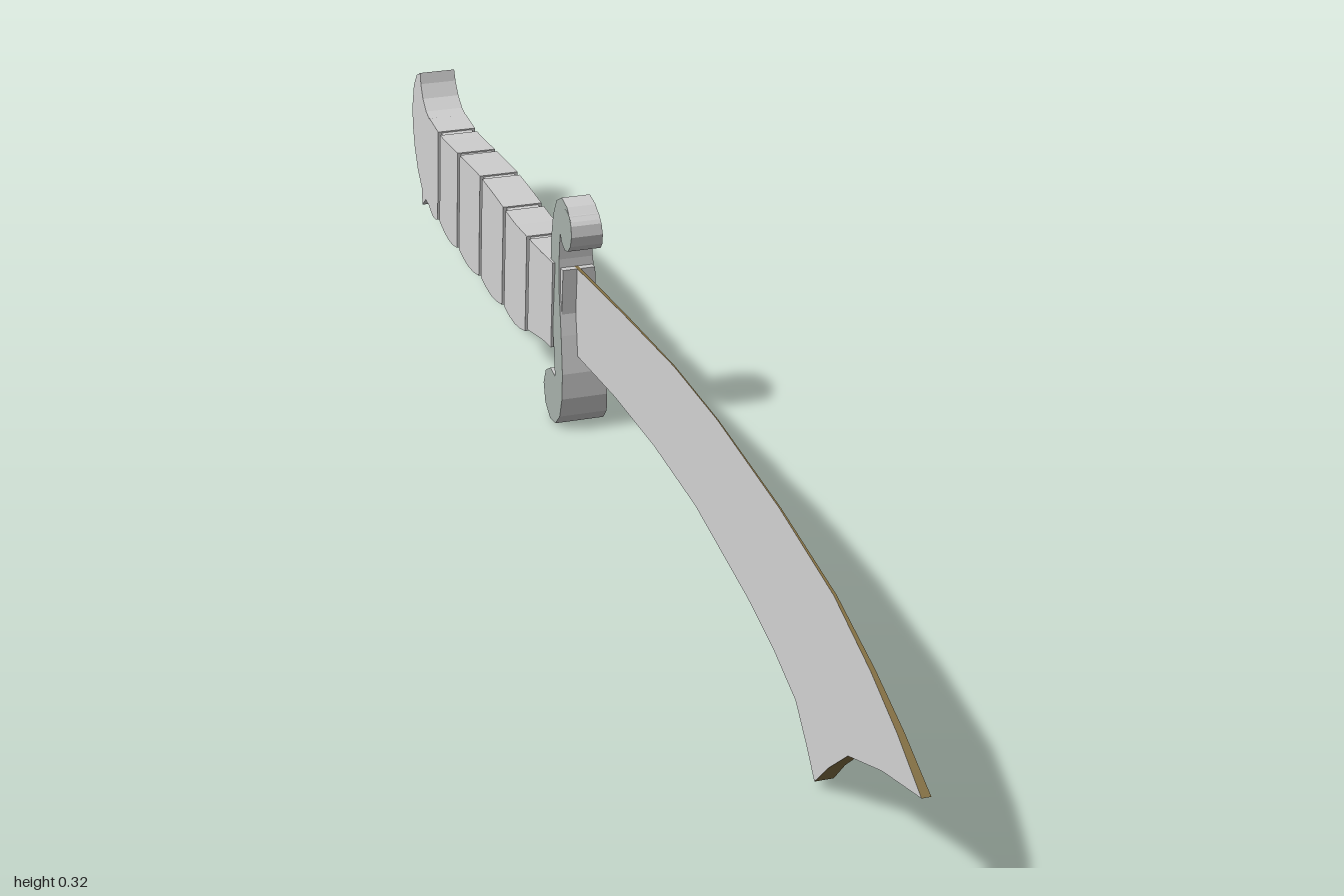
import * as THREE from 'three';

const mat = (name, color) => {
  const m = new THREE.MeshStandardMaterial({ color });
  m.name = name;
  return m;
};

// Extrudes a [z, y] outline across x; the half width varies with height.
// mats = [right-facing -x, +x face, rim]
function slab(name, outline, halfWidth, mats) {
  const shape = new THREE.Shape(outline.map(([z, y]) => new THREE.Vector2(-z, y)));
  let geo = new THREE.ExtrudeGeometry(shape, { depth: 1, bevelEnabled: false, steps: 1 });
  const caps = geo.groups[0].count;
  const total = geo.attributes.position.count;
  geo.rotateY(Math.PI / 2);
  const p = geo.attributes.position;
  for (let i = 0; i < total; i++) p.setX(i, (p.getX(i) - 0.5) * 2 * halfWidth(p.getY(i)));
  geo.clearGroups();
  geo.addGroup(0, caps / 2, 0);
  geo.addGroup(caps / 2, caps / 2, 1);
  geo.addGroup(caps, total - caps, 2);
  geo.computeVertexNormals();
  const mesh = new THREE.Mesh(geo, mats);
  mesh.name = name;
  return mesh;
}

// Height of a polyline (z descending) at a given z
function heightAt(line, z) {
  for (let i = 1; i < line.length; i++) {
    const [z0, y0] = line[i - 1], [z1, y1] = line[i];
    if (z >= z1) return y0 + (y1 - y0) * (z - z0) / (z1 - z0);
  }
  return line[line.length - 1][1];
}

export function createModel() {
  const group = new THREE.Group();
  const brown = mat('bronze brown', 0x857144);
  const light = mat('light grey', 0xcfcfcf);
  const steel = mat('steel grey', 0xa4aea8);

  // Blade: wedge, thick at the lower edge and sharp along the top
  group.add(slab('blade', [
    [1, 0.155], [0.9, 0.126], [0.81, 0.09], [0.76, 0.045], [0.725, 0.007],
    [0.695, 0.035], [0.655, 0.068], [0.58, 0.09], [0.49, 0.107], [0.3, 0.129], [0.14, 0.131],
    [-0.02, 0.123], [-0.25, 0.1], [-0.25, 0.22], [-0.2, 0.225], [0, 0.246], [0.2, 0.264],
    [0.36, 0.268], [0.57, 0.26], [0.74, 0.243], [0.85, 0.215], [0.93, 0.187],
  ], y => 0.0006 + 0.0108 * Math.max(0, 1 - y / 0.27), [light, brown, brown]));

  // Handle core, running on into the flared pommel
  const gripWidth = y => 0.034 - 0.032 * y;
  const top = [[-0.2, 0.225], [-0.3, 0.214], [-0.42, 0.204], [-0.52, 0.205], [-0.61, 0.203],
    [-0.72, 0.192], [-0.82, 0.181], [-0.9, 0.185]];
  const bottom = [[-0.2, 0.107], [-0.27, 0.097], [-0.35, 0.078], [-0.47, 0.066], [-0.6, 0.058],
    [-0.74, 0.05], [-0.9, 0.05]];
  group.add(slab('handleCore', [...bottom, ...[...top].reverse()],
    y => gripWidth(y) - 0.005, [light, brown, light]));

  // Grip segments separated by narrow grooves
  const cuts = [-0.225, -0.35, -0.47, -0.595, -0.72, -0.835, -0.895];
  for (let i = 0; i < cuts.length - 1; i++) {
    const a = cuts[i] - 0.006, b = cuts[i + 1] + (i < 5 ? 0.006 : 0);
    const lower = [], upper = [];
    for (let k = 0; k <= 4; k++) {
      const t = k / 4, z = a + (b - a) * t;
      const sag = i === 0 ? 0 : 0.012 * Math.sin(Math.PI * (0.15 + 0.75 * t));
      lower.push([z, heightAt(bottom, z) - sag]);
      upper.unshift([z, heightAt(top, z) + 0.002]);
    }
    group.add(slab('gripSegment', [...lower, ...upper], gripWidth, [light, brown, light]));
  }

  // Pommel with its upswept horn and lower spur
  group.add(slab('pommel', [
    [-0.89, 0.046], [-0.915, 0.048], [-0.935, 0.032], [-0.94, 0.058], [-0.965, 0.078],
    [-0.985, 0.107], [-0.998, 0.14], [-1, 0.17], [-0.992, 0.205], [-0.975, 0.227],
    [-0.953, 0.238], [-0.948, 0.222], [-0.935, 0.203], [-0.915, 0.19], [-0.89, 0.184],
  ], gripWidth, [light, brown, light]));

  // S-shaped guard
  const guardWidth = y => 0.0335 - 0.045 * y;
  group.add(slab('guard', [
    [-0.168, 0.305], [-0.188, 0.318], [-0.213, 0.322], [-0.235, 0.31], [-0.248, 0.285],
    [-0.253, 0.25], [-0.25, 0.21], [-0.237, 0.15], [-0.22, 0.095], [-0.213, 0.068],
    [-0.235, 0.071], [-0.256, 0.059], [-0.264, 0.037], [-0.253, 0.013], [-0.228, 0],
    [-0.203, 0.004], [-0.185, 0.022], [-0.178, 0.05], [-0.18, 0.085], [-0.192, 0.135],
    [-0.208, 0.19], [-0.214, 0.235], [-0.214, 0.28], [-0.2, 0.298],
  ], guardWidth, [steel, steel, light]));

  // Curled upper end of the guard
  const curl = [];
  for (let i = 0; i < 12; i++) {
    const a = i / 12 * Math.PI * 2;
    curl.push([-0.189 + 0.027 * Math.cos(a), 0.286 + 0.028 * Math.sin(a)]);
  }
  group.add(slab('guardCurl', curl, y => guardWidth(y) + 0.0004, [steel, brown, light]));

  return group;
}
